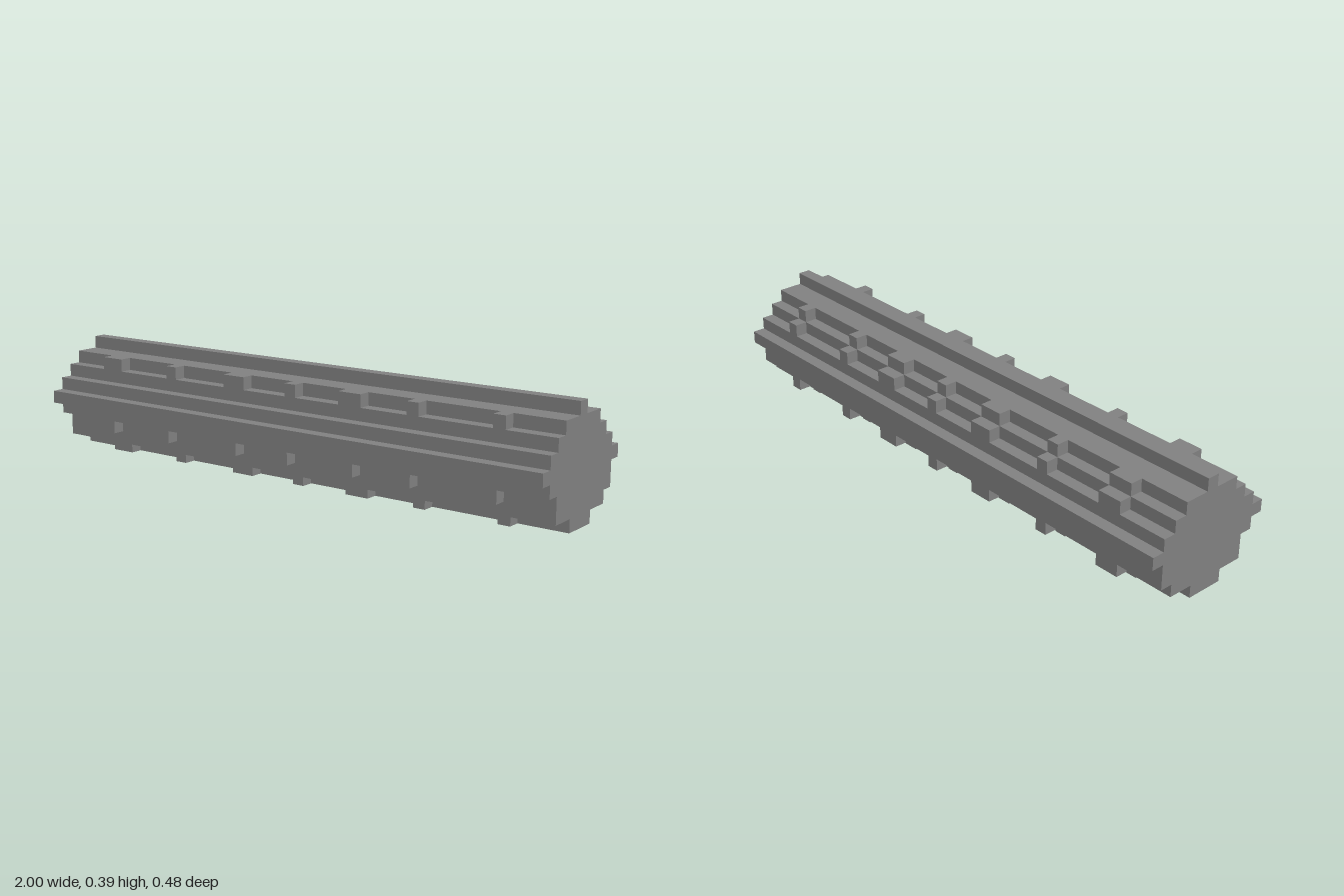
import * as THREE from 'three';

const U = 2 / 46; // one block

// Solid core: [min z, max z] block index for each row, bottom to top
const ROWS = [[-1, 1], [-3, 3], [-4, 3], [-4, 4], [-5, 5], [-4, 4], [-3, 3], [-2, 2], [0, 0]];

// Raised tabs along x: [first block, length in blocks]
const TABS = [[4, 2], [11, 1], [17, 2], [23, 1], [28, 2], [34, 1], [41, 1]];

// Lines of tabs around the core: [row, z block]
const TAB_LINES = [[7, 3], [7, -3], [6, -4], [2, 4], [1, -4], [0, 2], [0, -2]];

export function createModel() {
  const group = new THREE.Group();
  group.name = 'blockyLog';
  const grey = new THREE.MeshStandardMaterial({ color: 0x808080 });
  grey.name = 'grey';

  // Stepped cross-section, drawn with shape x = -z
  const right = [], left = [];
  ROWS.forEach(([lo, hi], row) => {
    for (const y of [row, row + 1]) {
      right.push(new THREE.Vector2((0.5 - lo) * U, y * U));
      left.unshift(new THREE.Vector2((-0.5 - hi) * U, y * U));
    }
  });
  const coreGeometry = new THREE.ExtrudeGeometry(new THREE.Shape([...right, ...left]), {
    depth: 2, bevelEnabled: false,
  });
  coreGeometry.translate(0, 0, -1).rotateY(Math.PI / 2);
  const core = new THREE.Mesh(coreGeometry, grey);
  core.name = 'ridgedCore';
  group.add(core);

  // Short tabs filling the corners of the steps
  for (const [row, z] of TAB_LINES) {
    const line = new THREE.Group();
    line.name = 'tabLine';
    for (const [start, length] of TABS) {
      const tab = new THREE.Mesh(new THREE.BoxGeometry(length * U, U, U), grey);
      tab.name = 'tab';
      tab.position.set(-1 + (start + length / 2) * U, (row + 0.5) * U, z * U);
      line.add(tab);
    }
    group.add(line);
  }
  return group;
}
